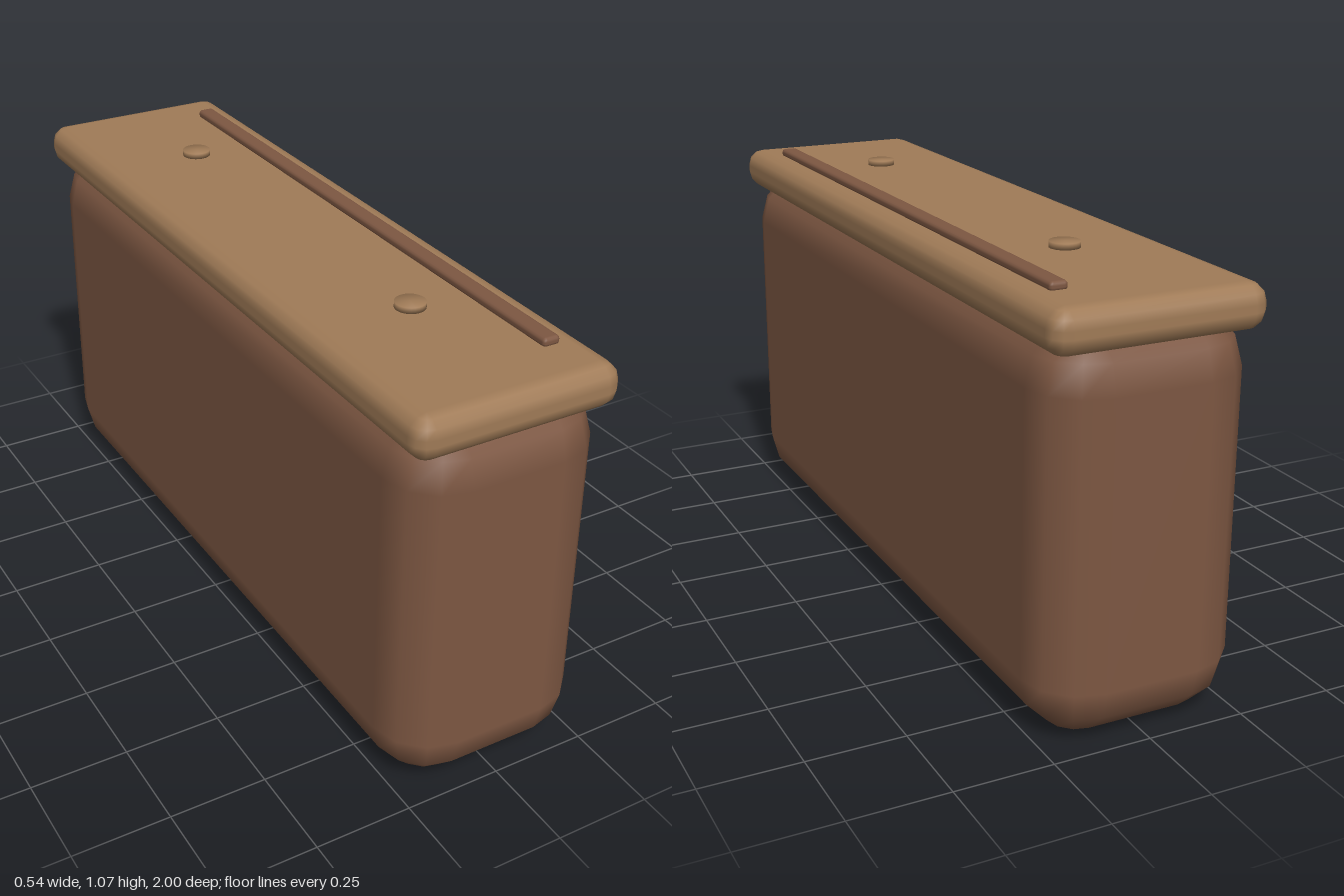
import * as THREE from 'three';
import { mergeVertices } from 'three/addons/utils/BufferGeometryUtils.js';

// Box with every edge rounded by radius r in n even steps, smooth normals
function roundedBox(w, h, d, r, n = 3) {
  const pos = [], nor = [], idx = [];
  const add = (p, q) => { pos.push(...p); nor.push(...q); };
  const cols = 4 * (n + 1), rows = 2 * (n + 1);
  const signs = [[1, 1], [-1, 1], [-1, -1], [1, -1]];
  for (let j = 0; j < rows; j++) {
    const top = j > n;
    const phi = (top ? j - n - 1 : j - n) / n * Math.PI / 2;
    for (let c = 0; c < 4; c++) {
      for (let i = 0; i <= n; i++) {
        const a = (c + i / n) * Math.PI / 2;
        const q = [Math.cos(phi) * Math.cos(a), Math.sin(phi), Math.cos(phi) * Math.sin(a)];
        add([
          signs[c][0] * (w / 2 - r) + q[0] * r,
          (top ? 1 : -1) * (h / 2 - r) + q[1] * r,
          signs[c][1] * (d / 2 - r) + q[2] * r,
        ], q);
      }
    }
  }
  for (let j = 0; j < rows - 1; j++) {
    for (let i = 0; i < cols; i++) {
      const k = (i + 1) % cols;
      const a = j * cols + i, b = j * cols + k;
      idx.push(a, a + cols, b, b, a + cols, b + cols);
    }
  }
  // Flat bottom and top, one corner vertex from each rounded corner
  const [a, b, c, e] = [0, 1, 2, 3].map((k) => k * (n + 1));
  const t = (rows - 1) * cols;
  idx.push(a, b, c, a, c, e, t + a, t + c, t + b, t + a, t + e, t + c);
  const g = new THREE.BufferGeometry();
  g.setAttribute('position', new THREE.Float32BufferAttribute(pos, 3));
  g.setAttribute('normal', new THREE.Float32BufferAttribute(nor, 3));
  g.setIndex(idx);
  return g;
}

// Thin disc whose normals blend over the rim
function softDisc(radius, height) {
  const g = new THREE.CylinderGeometry(radius, radius, height, 24);
  g.deleteAttribute('normal');
  g.deleteAttribute('uv');
  const merged = mergeVertices(g);
  merged.computeVertexNormals();
  return merged;
}

export function createModel() {
  const model = new THREE.Group();
  const darkBrown = new THREE.MeshStandardMaterial({ color: 0x7d5742 });
  darkBrown.name = 'dark brown';
  const tan = new THREE.MeshStandardMaterial({ color: 0xa07b57 });
  tan.name = 'tan';

  const part = (name, geometry, material, x, y, z) => {
    const mesh = new THREE.Mesh(geometry, material);
    mesh.name = name;
    mesh.position.set(x, y, z);
    model.add(mesh);
  };

  part('body', roundedBox(0.53, 0.99, 2, 0.145), darkBrown, 0, 0.495, 0);
  part('lid', roundedBox(0.54, 0.11, 2, 0.046), tan, 0, 0.995, 0);
  part('topStrip', roundedBox(0.046, 0.024, 1.7, 0.01), darkBrown, 0.178, 1.057, 0);

  // Two small studs hovering just above the lid
  const stud = softDisc(0.038, 0.015);
  for (const s of [1, -1]) part(s > 0 ? 'frontStud' : 'backStud', stud, tan, 0, 1.065, s * 0.55);

  return model;
}
